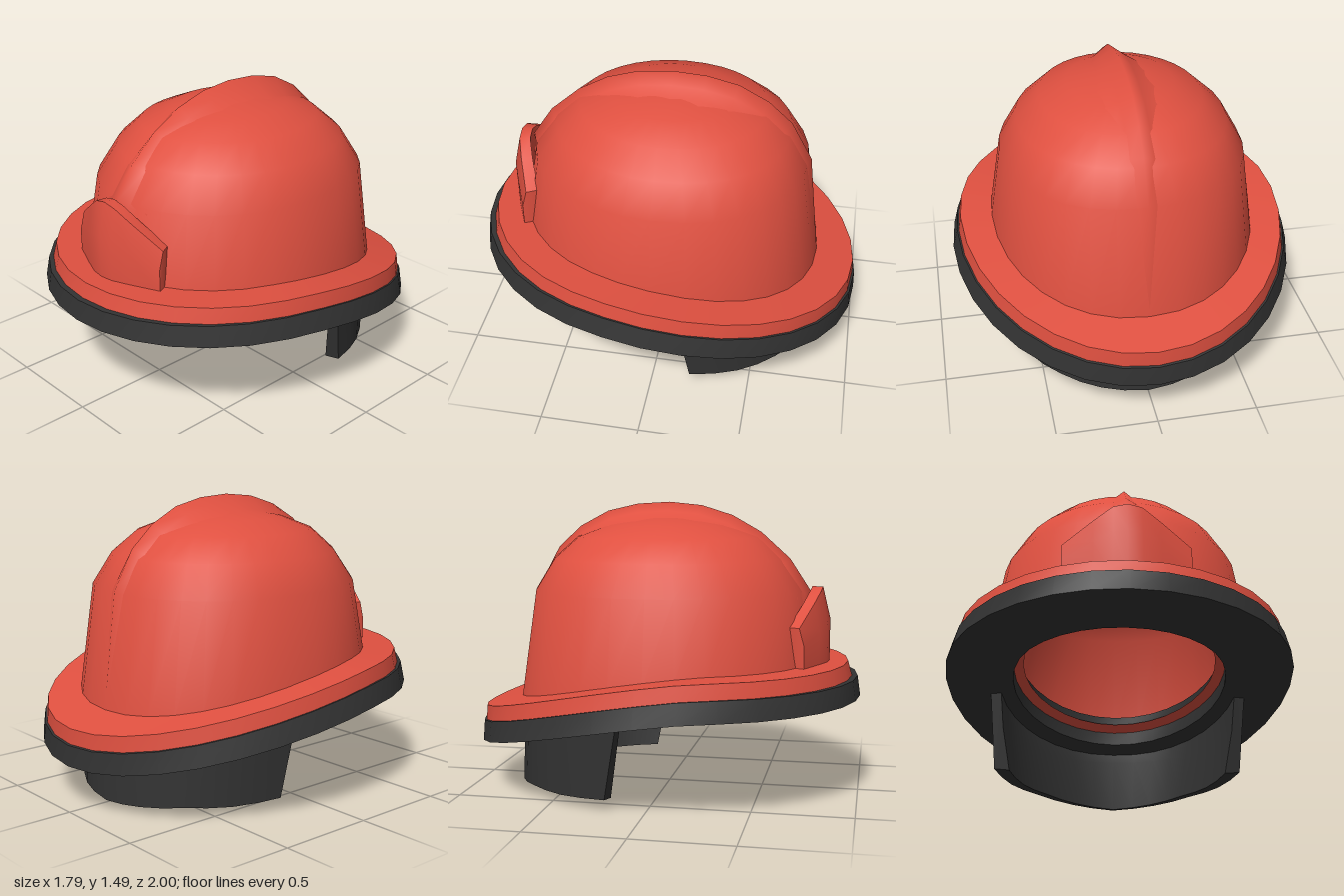
import * as THREE from 'three';
import { toCreasedNormals } from 'three/addons/utils/BufferGeometryUtils.js';

const shellRed = new THREE.MeshStandardMaterial({ color: 0xdf5040 });
shellRed.name = 'shellRed';
const rubberBlack = new THREE.MeshStandardMaterial({ color: 0x333333 });
rubberBlack.name = 'rubberBlack';

// Surface through rows of points; wrap closes each row, cap fills the end rows
function loft(rows, { wrap = true, cap = false, crease = 0.7 } = {}) {
  const n = rows[0].length, index = [];
  for (let i = 0; i < rows.length - 1; i++) {
    for (let j = 0; j < (wrap ? n : n - 1); j++) {
      const k = (j + 1) % n;
      const a = i * n + j, b = i * n + k, c = b + n, d = a + n;
      index.push(a, b, c, a, c, d);
    }
  }
  if (cap) {
    const e = (rows.length - 1) * n;
    for (let j = 1; j < n - 1; j++) index.push(0, j + 1, j, e, e + j, e + j + 1);
  }
  const geometry = new THREE.BufferGeometry();
  geometry.setAttribute('position', new THREE.Float32BufferAttribute(rows.flat(2), 3));
  geometry.setIndex(index);
  return toCreasedNormals(geometry, crease);
}

// Brim droops toward the back
const droop = (z) => (z < 0.3 ? -0.27 * Math.pow((0.3 - z) / 1.3, 1.5) : 0);
const signedPow = (v, e) => Math.sign(v) * Math.pow(Math.abs(v), e);

// Oval ring: half-width, front depth, back depth, height, follows the droop, squareness of the back
function ring([rx, front, back, y, follows = false, power = 2]) {
  return Array.from({ length: 32 }, (_, i) => {
    const a = (i / 32) * Math.PI * 2, s = Math.sin(a), c = Math.cos(a);
    const e = c < 0 ? 2 / power : 1;
    const z = (c < 0 ? back : front) * signedPow(c, e);
    return [rx * signedPow(s, e), y + (follows ? droop(z) : 0), z];
  });
}

export function createModel() {
  const group = new THREE.Group();
  const add = (name, geometry, material) => {
    const mesh = new THREE.Mesh(geometry, material);
    mesh.name = name;
    group.add(mesh);
  };

  // Dome
  const dome = [
    [0.685, 0.77, 0.785, 0.66, true, 2.15], [0.62, 0.705, 0.695, 1.04, false, 2.25],
    [0.53, 0.59, 0.6, 1.2, false, 2.2], [0.41, 0.47, 0.48, 1.31, false, 2.1],
    [0.27, 0.31, 0.32, 1.37], [0.13, 0.15, 0.16, 1.405], [0.001, 0.001, 0.001, 1.415],
  ];
  add('dome', loft(dome.map(ring), { crease: 0.9 }), shellRed);

  // Inside of the dome, a black head band and a red lip below it
  const lining = dome.map(([rx, front, back, y, ...rest]) =>
    [rx * 0.95, front * 0.95, back * 0.95, y - 0.03, ...rest]).reverse();
  lining[lining.length - 1][3] = 0.66;
  lining.push([0.53, 0.59, 0.59, 0.65, true]);
  add('lining', loft(lining.map(ring)), shellRed);
  add('headBand', loft([
    [0.53, 0.59, 0.59, 0.65, true], [0.53, 0.59, 0.59, 0.595, true],
  ].map(ring)), rubberBlack);
  add('openingLip', loft([
    [0.53, 0.59, 0.59, 0.6, true], [0.5, 0.56, 0.56, 0.59, true], [0.55, 0.61, 0.61, 0.57, true],
  ].map(ring)), shellRed);

  // Crest ridge over the crown: z and y along its top edge
  const crest = [
    [0.755, 0.68], [0.735, 1.04], [0.63, 1.2], [0.48, 1.335], [0.33, 1.42], [0.17, 1.47], [0, 1.487],
    [-0.17, 1.477], [-0.33, 1.44], [-0.48, 1.36], [-0.6, 1.25], [-0.71, 1.05], [-0.78, 0.48],
  ];
  const crossSection = [[-0.17, 0.1], [-0.12, 0.079], [-0.06, 0.045], [0, 0], [0.06, 0.045], [0.12, 0.079], [0.17, 0.1]];
  add('crestRidge', loft(crest.map(([z, y]) => {
    const length = Math.hypot(z, y - 0.7);
    const depth = Math.min(1, 0.6 + Math.max(0, y - 1.1) * 2);
    return crossSection.map(([x, sink]) => {
      const s = 1 - (sink * depth) / length;
      return [x, 0.7 + (y - 0.7) * s, z * s];
    });
  }), { wrap: false, crease: 3 }), shellRed);

  // Red brim and the black edge below it
  add('brim', loft([
    [0.863, 0.96, 0.985, 0.59, true], [0.845, 0.935, 0.98, 0.68, true], [0.66, 0.75, 0.75, 0.68, true],
  ].map(ring)), shellRed);
  add('brimEdge', loft([
    [0.55, 0.61, 0.61, 0.57, true], [0.55, 0.61, 0.61, 0.5, true], [0.895, 1, 1, 0.503, true],
    [0.868, 0.985, 0.995, 0.605, true], [0.8, 0.9, 0.9, 0.605, true],
  ].map(ring)), rubberBlack);

  // Neck guard hanging round the back
  const guard = [];
  for (let i = 0; i <= 16; i++) {
    const t = i / 8 - 1, top = t * 1.43, low = t * 1.34;
    const point = (rx, rz, y, a) => [rx * signedPow(Math.sin(a), 0.93), y, -rz * signedPow(Math.cos(a), 0.93)];
    const topY = 0.53 + droop(-0.77 * Math.cos(top));
    const lowY = Math.min(0.04, 0.08 * Math.abs(t)) + 0.04 * Math.max(0, Math.abs(t) - 0.75);
    guard.push([
      point(0.655, 0.785, lowY + 0.01, low), point(0.68, 0.77, topY, top),
      point(0.625, 0.71, topY, top), point(0.61, 0.71, 0.27, (top + low) / 2),
      point(0.575, 0.73, lowY, low),
    ]);
  }
  add('neckGuard', loft(guard, { cap: true }), rubberBlack);

  // Front shield plate, bent round the dome: x, front z at foot, front z at top, top height
  const plate = [[0.31, 0.73, 0.705, 0.88], [0.16, 0.795, 0.765, 0.985], [0.07, 0.83, 0.795, 1.045], [0, 0.84, 0.8, 1.06]];
  const columns = [...plate.map(([x, ...rest]) => [-x, ...rest]), ...plate.slice(0, -1).reverse()];
  add('frontShield', loft(columns.map(([x, foot, top, y]) => [
    [x, y, top], [x, 0.65 + (y - 0.65) * 0.6, foot], [x, 0.65, foot],
    [x * 0.9, 0.65, foot - 0.07], [x * 0.9, y, top - 0.055],
  ]), { cap: true }), shellRed);

  return group;
}
